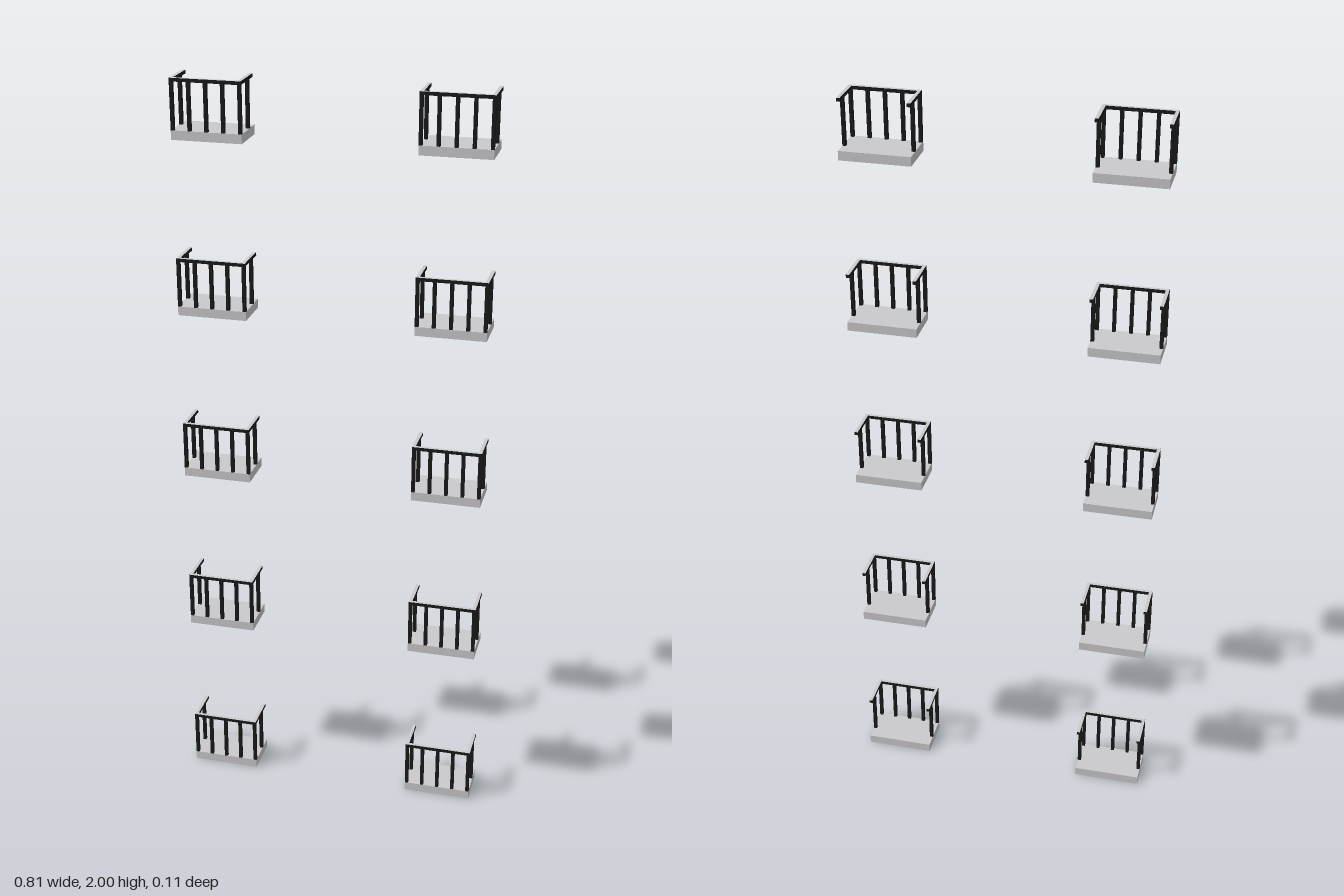
import * as THREE from 'three';

const WIDTH = 0.184, DEPTH = 0.11, SLAB = 0.024, HEIGHT = 0.154, BAR = 0.009;
const FLOORS = 5, SPACING = (2 - HEIGHT) / (FLOORS - 1), OFFSET = 0.3135;

export function createModel() {
  const concrete = new THREE.MeshStandardMaterial({ color: 0xcacacd });
  concrete.name = 'concrete grey';
  const metal = new THREE.MeshStandardMaterial({ color: 0x19191b });
  metal.name = 'railing black';
  // Dark handrail with a pale upper face
  const railFaces = [metal, metal, concrete, metal, metal, metal];

  const box = (parent, name, size, pos, material) => {
    const mesh = new THREE.Mesh(new THREE.BoxGeometry(...size), material);
    mesh.name = name;
    mesh.position.set(...pos);
    parent.add(mesh);
  };

  const createBalcony = () => {
    const balcony = new THREE.Group();
    balcony.name = 'balcony';
    const sideX = WIDTH / 2 - BAR / 2;
    const frontZ = DEPTH / 2 - BAR / 2;
    const railY = HEIGHT - BAR / 2;
    const postHeight = HEIGHT - BAR - SLAB;
    const postY = SLAB + postHeight / 2;

    // Floor slab
    box(balcony, 'slab', [WIDTH, SLAB, DEPTH], [0, SLAB / 2, 0], concrete);

    // Handrail: front bar between two side bars, open at the back
    box(balcony, 'frontRail', [WIDTH - 2 * BAR, BAR, BAR], [0, railY, frontZ], railFaces);
    const backEnd = -0.047, railLength = DEPTH / 2 - backEnd;
    for (const side of [-1, 1]) {
      box(balcony, 'sideRail', [BAR, BAR, railLength],
        [side * sideX, railY, backEnd + railLength / 2], railFaces);
      box(balcony, 'sidePost', [BAR, postHeight, BAR], [side * sideX, postY, -0.014], metal);
    }

    // Five evenly spaced posts along the front
    for (let i = -2; i <= 2; i++) {
      box(balcony, 'frontPost', [BAR, postHeight, BAR], [i * sideX / 2, postY, frontZ], metal);
    }
    return balcony;
  };

  // Two columns of balconies, one pair per floor
  const model = new THREE.Group();
  model.name = 'balconies';
  for (let floor = 0; floor < FLOORS; floor++) {
    for (const side of [-1, 1]) {
      const balcony = createBalcony();
      balcony.position.set(side * OFFSET, floor * SPACING, 0);
      model.add(balcony);
    }
  }
  return model;
}
